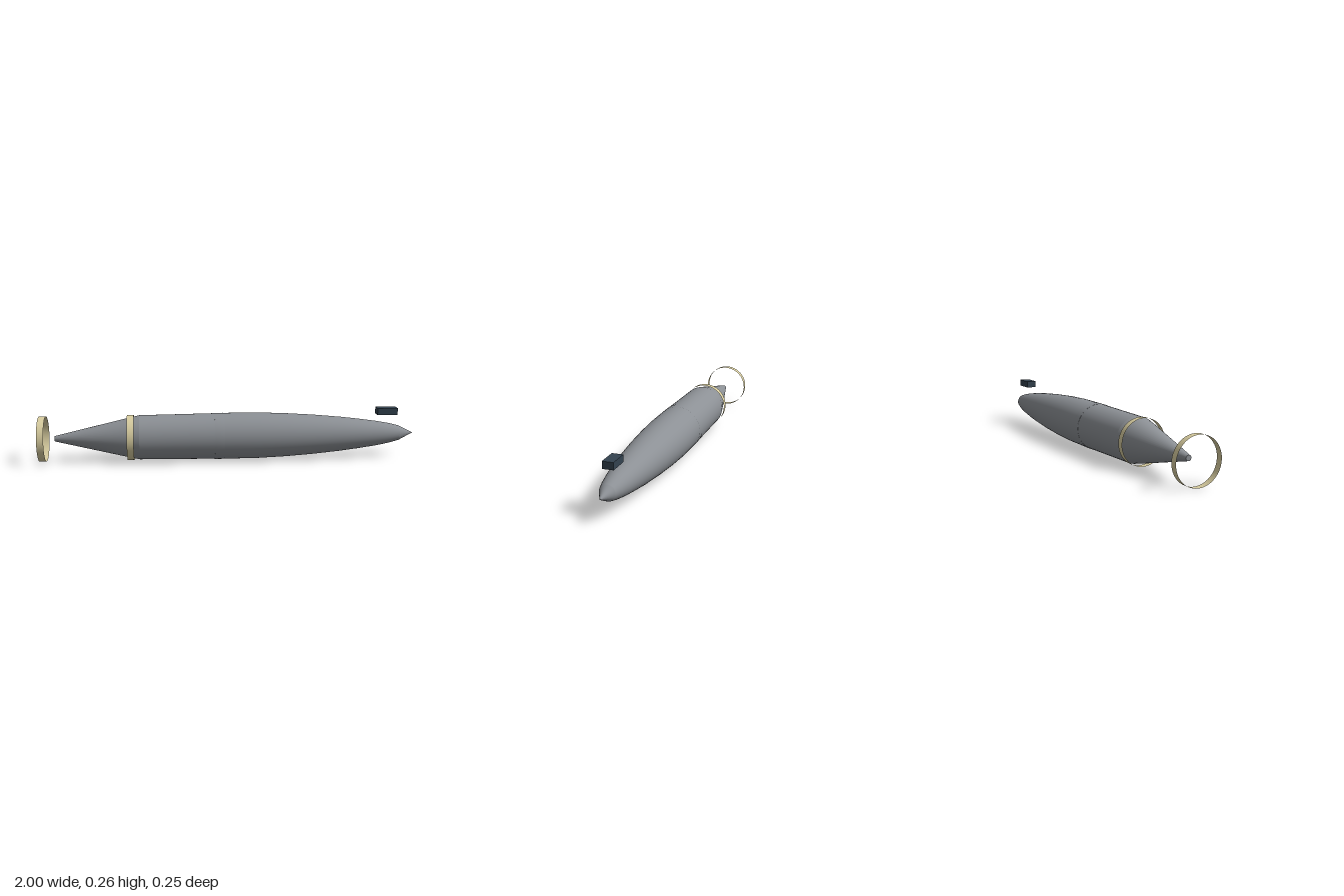
import * as THREE from 'three';

const AXIS_Y = 0.123;

export function createModel() {
  const model = new THREE.Group();
  model.name = 'torpedoShapedHull';

  const hullGrey = new THREE.MeshStandardMaterial({ color: 0x8c9095 });
  hullGrey.name = 'hull grey';
  const ringCream = new THREE.MeshStandardMaterial({ color: 0xd8cda0, side: THREE.DoubleSide });
  ringCream.name = 'ring cream';
  const darkSlate = new THREE.MeshStandardMaterial({ color: 0x33424f });
  darkSlate.name = 'dark slate';

  // Everything round is turned about the long axis: profile points are [x, radius]
  function turned(name, profile, material) {
    const points = profile.map(([x, r]) => new THREE.Vector2(r, x));
    const mesh = new THREE.Mesh(new THREE.LatheGeometry(points, 48), material);
    mesh.name = name;
    mesh.rotation.z = -Math.PI / 2;
    mesh.position.y = AXIS_Y;
    model.add(mesh);
  }

  // Hull: tail cone, long body, pointed nose
  turned('tailCone', [[-0.92, 0], [-0.92, 0.014]], hullGrey);
  turned('tailTaper', [[-0.92, 0.014], [-0.54, 0.103], [-0.475, 0.117]], hullGrey);
  turned('hullBody', [
    [-0.475, 0.117], [-0.2, 0.12], [0, 0.1225], [0.15, 0.122], [0.3, 0.116], [0.45, 0.106],
    [0.6, 0.092], [0.7, 0.08], [0.8, 0.066], [0.87, 0.053], [0.92, 0.04],
  ], hullGrey);
  turned('noseTip', [[0.92, 0.04], [1, 0]], hullGrey);

  // Slight seam band around the middle
  turned('seamBand', [[-0.08, 0.1216], [-0.08, 0.1228], [-0.03, 0.123], [-0.03, 0.122]], hullGrey);

  // Thin open rings, one on the hull and one behind the tail
  for (const [name, x] of [['hullRing', -0.522], ['tailRing', -0.982]]) {
    turned(name, [[x - 0.018, 0.119], [x + 0.018, 0.119]], ringCream);
  }

  // Small block above the nose
  const block = new THREE.Mesh(new THREE.BoxGeometry(0.109, 0.036, 0.055), darkSlate);
  block.name = 'noseBlock';
  block.position.set(0.852, 0.245, 0);
  model.add(block);

  return model;
}
